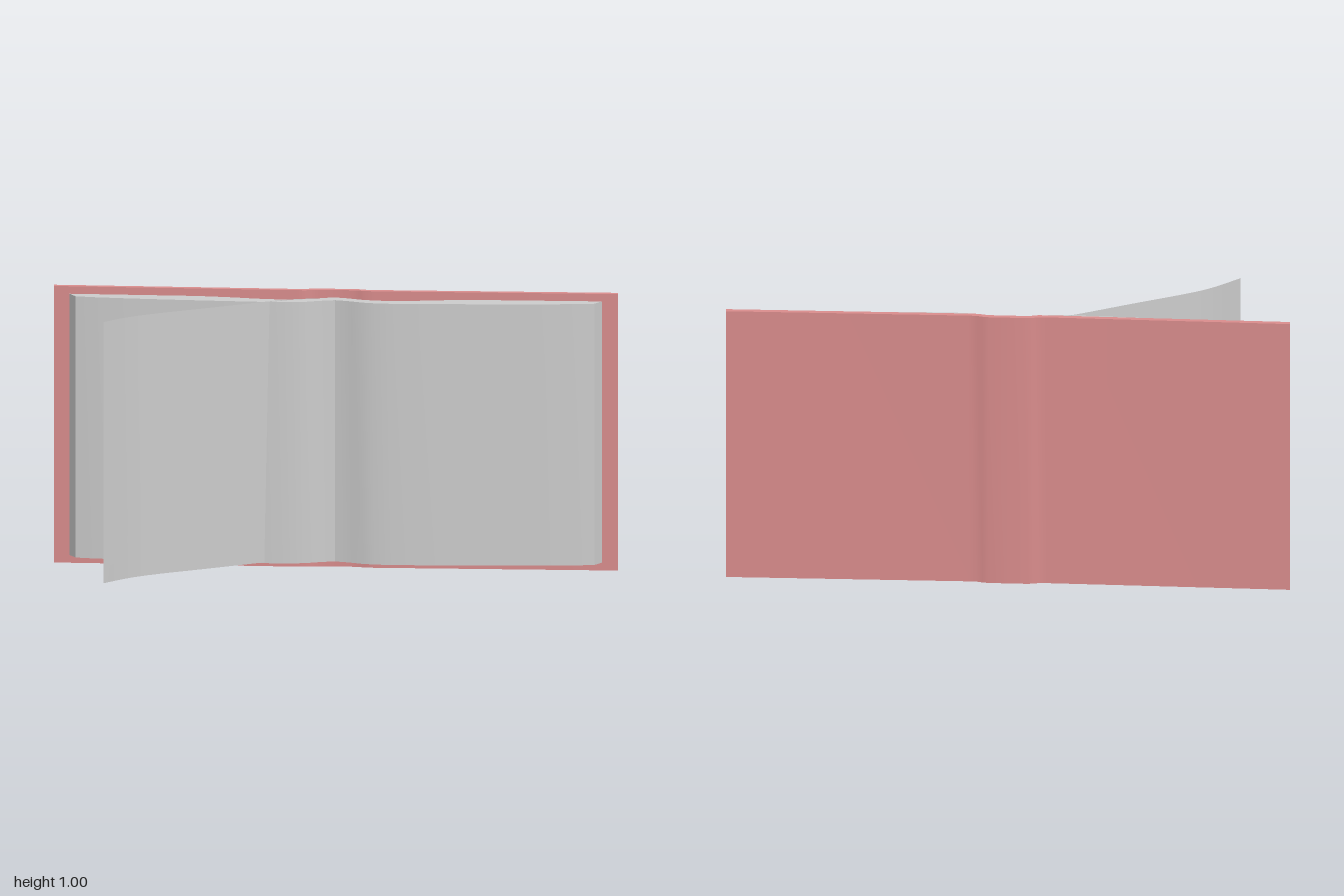
import * as THREE from 'three';
import { toCreasedNormals } from 'three/addons/utils/BufferGeometryUtils.js';

const grey = new THREE.MeshStandardMaterial({ color: 0xcccccc });
const paper = new THREE.MeshStandardMaterial({ color: 0xcccccc, side: THREE.DoubleSide });
const red = new THREE.MeshStandardMaterial({ color: 0xd98c8c });

// Mirrors a half line of [x, z] points, running from -x to +x.
const mirrored = (half) => [
  ...half.slice().reverse().map(([x, z]) => [-x, z]),
  ...half.filter(([x]) => x > 0),
];

// Extrudes the closed plan between a front and a back line up from y0 to y1.
function slab(front, back, y0, y1, material, name) {
  const outline = [...mirrored(front), ...mirrored(back).reverse()];
  const shape = new THREE.Shape(outline.map(([x, z]) => new THREE.Vector2(x, -z)));
  const geometry = new THREE.ExtrudeGeometry(shape, { depth: y1 - y0, bevelEnabled: false });
  geometry.rotateX(-Math.PI / 2).translate(0, y0, 0);
  const mesh = new THREE.Mesh(toCreasedNormals(geometry, 0.5), material);
  mesh.name = name;
  return mesh;
}

// Single leaf being turned: a curved sheet swept along a plan curve, slightly skewed.
function turningPage() {
  const path = new THREE.CatmullRomCurve3([
    [0, -0.225], [-0.06, -0.215], [-0.14, -0.195], [-0.225, -0.15],
    [-0.43, -0.02], [-0.64, 0.112], [-0.71, 0.17], [-0.79, 0.26],
  ].map(([x, z]) => new THREE.Vector3(x, 0, z)));
  const geometry = new THREE.PlaneGeometry(1, 1, 32, 4);
  const pos = geometry.attributes.position;
  for (let i = 0; i < pos.count; i++) {
    const t = 0.5 - pos.getX(i);
    const v = pos.getY(i) + 0.5;
    const p = path.getPoint(t);
    const sag = 0.012 * Math.sin(Math.PI * t) * (1 - v);
    pos.setXYZ(i, p.x, 0.028 + 0.945 * v + 0.006 * t, p.z - sag);
  }
  geometry.computeVertexNormals();
  const mesh = new THREE.Mesh(geometry, paper);
  mesh.name = 'turningPage';
  return mesh;
}

export function createModel() {
  const book = new THREE.Group();
  book.name = 'openBook';

  // Cover boards with hinge grooves either side of the spine
  const coverFront = [[0, -0.24], [0.06, -0.24], [0.085, -0.236], [0.105, -0.229], [0.14, -0.228], [1, -0.24]];
  const coverBack = [[0, -0.262], [0.07, -0.262], [0.09, -0.258], [0.11, -0.251], [0.14, -0.25], [1, -0.262]];
  book.add(slab(coverFront, coverBack, 0, 1, red, 'cover'));

  // Page block with a valley at the spine and slanted outer edges
  const pagesFront = [
    [0, -0.195], [0.03, -0.187], [0.06, -0.177], [0.1, -0.16], [0.14, -0.152], [0.2, -0.147],
    [0.3, -0.15], [0.45, -0.157], [0.6, -0.165], [0.75, -0.176], [0.86, -0.187], [0.92, -0.198],
  ];
  const pagesBack = [
    [0, -0.24], [0.03, -0.234], [0.06, -0.222], [0.1, -0.206], [0.15, -0.197], [0.21, -0.195],
    [0.28, -0.202], [0.36, -0.217], [0.45, -0.229], [0.55, -0.235], [0.945, -0.241],
  ];
  book.add(slab(pagesFront, pagesBack, 0.028, 0.973, grey, 'pageBlock'));

  book.add(turningPage());
  return book;
}
